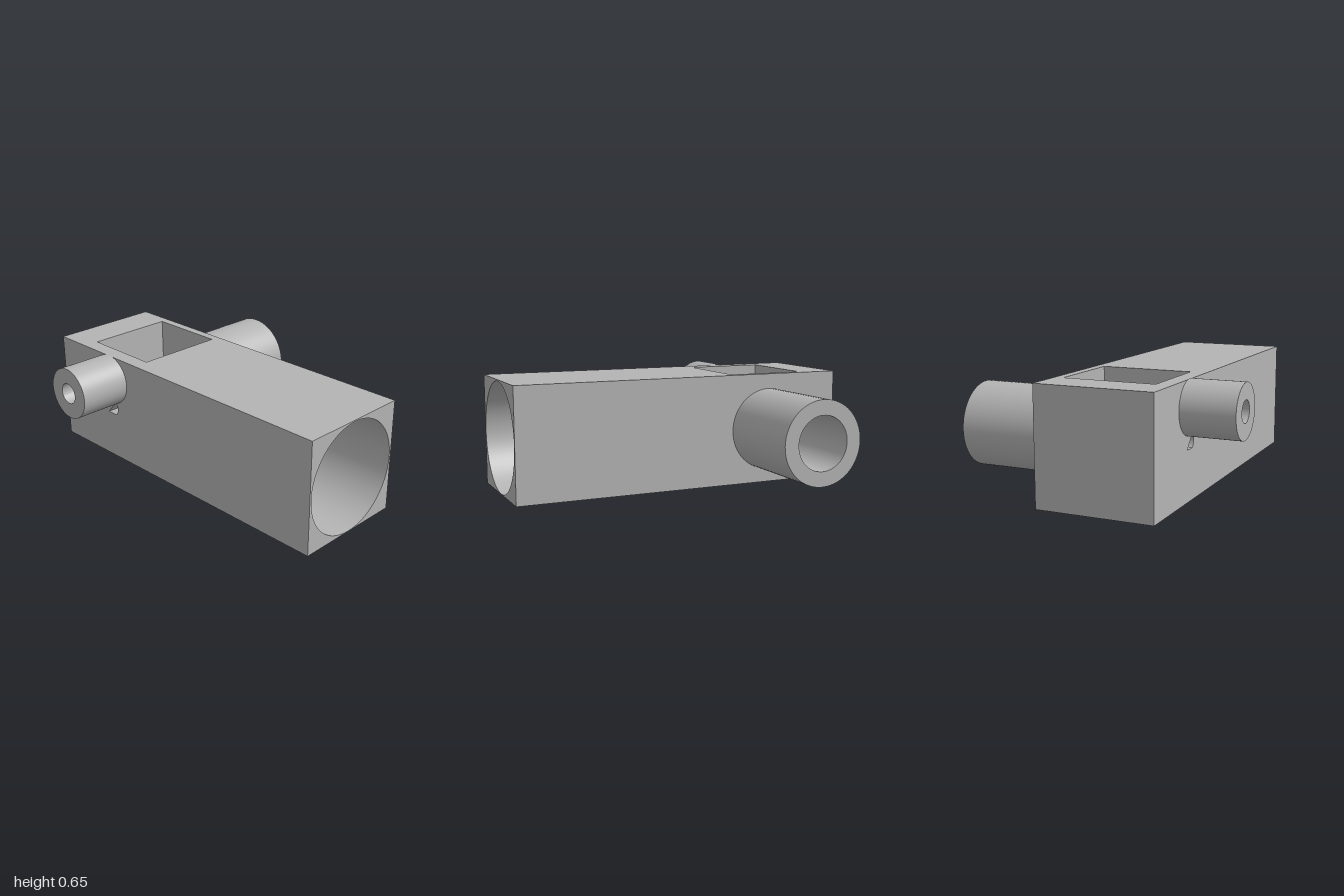
import * as THREE from 'three';
import { toCreasedNormals } from 'three/addons/utils/BufferGeometryUtils.js';

const CX = -0.14, CY = 0.322; // main bore axis (runs along z)
const U = 0.548;              // cross axis position, measured as -z
const R = 0.23;               // chamber radius

function rect(x0, y0, x1, y1) {
  return new THREE.Shape([[x0, y0], [x1, y0], [x1, y1], [x0, y1]].map(p => new THREE.Vector2(...p)));
}

function circle(x, y, r, Type = THREE.Path) {
  const c = new Type();
  c.absarc(x, y, r, 0, Math.PI * 2, false);
  return c;
}

function cut(shape, ...holes) {
  shape.holes.push(...holes);
  return shape;
}

function extrude(shape, depth) {
  return new THREE.ExtrudeGeometry(shape, { depth, bevelEnabled: false, curveSegments: 32 });
}

// Section in (x, y), swept from z0 to z1
const alongZ = (shape, z0, z1) => toCreasedNormals(extrude(shape, z1 - z0).translate(0, 0, z0), 0.5);
// Section in (-z, y), swept from x0 to x1
const alongX = (shape, x0, x1) =>
  toCreasedNormals(extrude(shape, x1 - x0).rotateY(Math.PI / 2).translate(x0, 0, 0), 0.5);

export function createModel() {
  const group = new THREE.Group();
  const grey = new THREE.MeshStandardMaterial({ color: 0xb4b4b4 });
  grey.name = 'grey';
  const add = (name, geometry) => {
    const mesh = new THREE.Mesh(geometry, grey);
    mesh.name = name;
    group.add(mesh);
  };

  // Square body, in slices along its length
  const section = () => rect(-0.47, 0, 0.19, 0.65);
  add('frontSleeve', alongZ(cut(section(), circle(CX, CY, 0.32)), 0.53, 1));
  add('middleBlock', alongZ(cut(section(), circle(CX, CY, 0.077)), -0.26, 0.53));
  add('chamberFrontWall', alongZ(cut(section(), circle(CX, CY, 0.055)), R - U, -0.26));
  add('backBlock', alongZ(section(), -1, -U - R));

  // Open-topped chamber with a rounded floor
  const floor = new THREE.Shape();
  const a = 0.25, floorY = CY - R * Math.sin(a);
  floor.moveTo(U - R, 0);
  floor.lineTo(U + R, 0);
  floor.lineTo(U + R, floorY);
  floor.absarc(U, CY, R, -a, -Math.PI + a, true);
  floor.lineTo(U - R, floorY);
  add('chamberFloor', alongX(floor, -0.38, 0.14));

  // Chamber side walls: round port on the left, keyed port and inlet on the right
  const keyed = new THREE.Path();
  const k = Math.asin(0.04 / 0.055);
  keyed.moveTo(U + 0.033, CY + 0.04);
  keyed.absarc(U, CY, 0.055, Math.PI - k, Math.PI + k, false);
  keyed.lineTo(U + 0.033, CY - 0.04);
  const wall = () => rect(U - R, 0, U + R, 0.65);
  add('leftChamberWall', alongX(cut(wall(), circle(U, CY, 0.055)), 0.14, 0.19));
  add('rightChamberWall', alongX(cut(wall(), keyed, circle(U, 0.503, 0.06)), -0.47, -0.38));

  // Side tubes
  const tube = (y, outer, inner) => cut(circle(U, y, outer, THREE.Shape), circle(U, y, inner));
  add('largeTube', alongX(tube(CY, 0.241, 0.155), 0.19, 0.77));
  add('smallTube', alongX(tube(0.503, 0.15, 0.06), -0.77, -0.47));

  return group;
}
